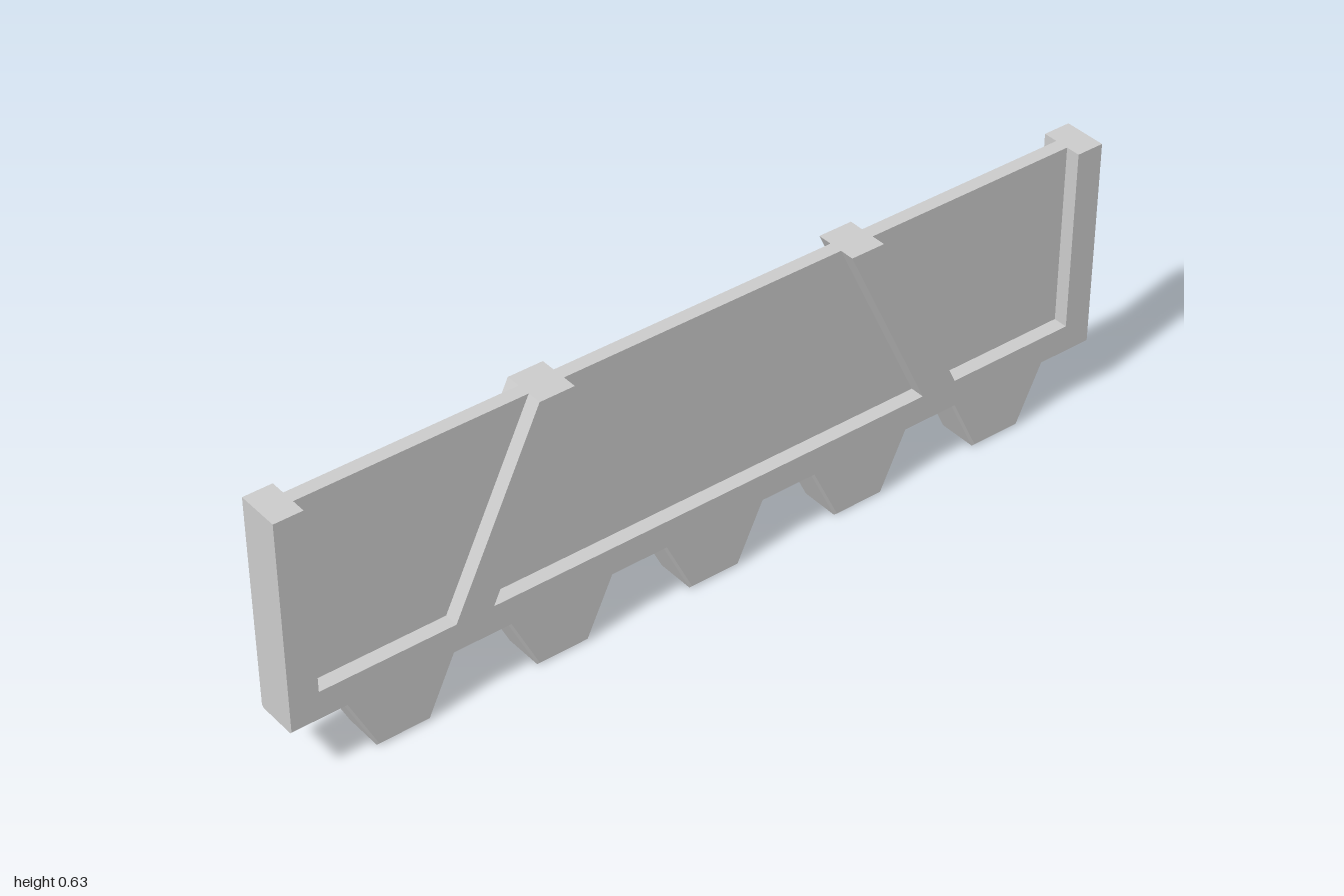
import * as THREE from 'three';

const TOP = 0.626, FLOOR = 0.2, BASE = 0.131; // top edge, recess floor, underside between teeth
const HALF = 0.05, WEB = 0.016, BEVEL = 0.005; // half thicknesses and tooth chamfer

const material = new THREE.MeshStandardMaterial({ color: 0xcccccc, flatShading: true });

// Extrudes a (z, y) outline across x, centred on x = 0
function slab(points, half, bevel = 0) {
  const shape = new THREE.Shape(points.map(([z, y]) => new THREE.Vector2(z, y)));
  const geometry = new THREE.ExtrudeGeometry(shape, {
    depth: 2 * (half - bevel),
    bevelEnabled: bevel > 0,
    bevelThickness: bevel,
    bevelSize: bevel,
    bevelOffset: -bevel,
    bevelSegments: 1,
  });
  geometry.translate(0, 0, -(half - bevel));
  geometry.rotateY(-Math.PI / 2);
  return geometry;
}

function addPart(group, name, geometry) {
  const mesh = new THREE.Mesh(geometry, material);
  mesh.name = name;
  group.add(mesh);
}

// Toothed lower rail, chamfered along its underside only
function toothedRail() {
  const outline = [[-1, BASE]];
  for (let i = -2; i <= 2; i++) {
    const c = i * 0.376 + 0.003;
    outline.push([c - 0.124, BASE], [c - 0.061, 0], [c + 0.061, 0], [c + 0.124, BASE]);
  }
  outline.push([1, BASE], [1, FLOOR], [-1, FLOOR]);
  const geometry = slab(outline, HALF, BEVEL);

  // Square off the chamfer at the ends and the top of the rail
  const p = geometry.attributes.position;
  for (let i = 0; i < p.count; i++) {
    if (Math.abs(p.getZ(i)) > 0.99) p.setZ(i, Math.sign(p.getZ(i)));
    if (p.getY(i) > FLOOR - 0.01) p.setY(i, FLOOR);
  }
  geometry.computeVertexNormals();
  return geometry;
}

export function createModel() {
  const group = new THREE.Group();
  group.name = 'toothedPanel';

  addPart(group, 'toothedRail', toothedRail());

  // Thin recessed panel between the posts
  addPart(group, 'recessedPanel',
    slab([[-0.935, FLOOR], [0.935, FLOOR], [0.935, TOP], [-0.935, TOP]], WEB));

  // End posts and slanted ribs, mirrored front to back
  for (const [side, s] of [['front', 1], ['back', -1]]) {
    addPart(group, side + 'EndPost',
      slab([[s, FLOOR], [s, TOP], [0.935 * s, TOP], [0.935 * s, FLOOR]], HALF));
    addPart(group, side + 'SlantedRib',
      slab([[0.625 * s, FLOOR], [0.417 * s, TOP], [0.336 * s, TOP], [0.538 * s, FLOOR]], HALF));
  }
  return group;
}
